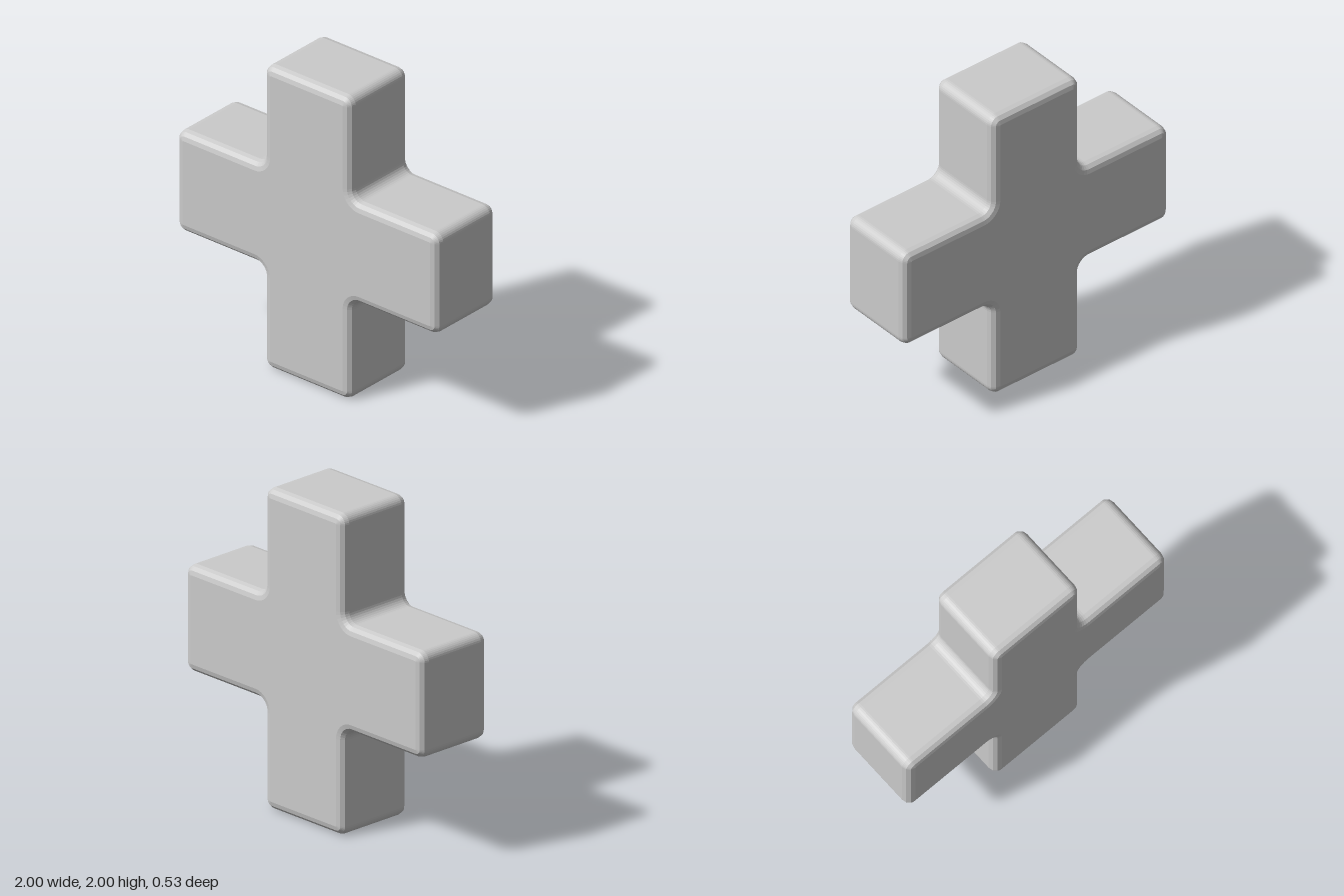
import * as THREE from 'three';

const ARM = 0.332;    // half width of each arm
const DEPTH = 0.265;  // half depth of the body
const BEVEL = 0.055;
const CORNER = 0.06;  // radius at the arm tips
const FILLET = 0.068; // radius in the inner corners

// Outline of the cross: two rounded tip corners and one inner fillet per arm
function crossShape() {
  const shape = new THREE.Shape();
  const quarter = Math.PI / 2;
  for (let i = 0; i < 4; i++) {
    const turn = i * quarter;
    const arc = (x, y, r, from, to, clockwise) => {
      const c = new THREE.Vector2(x, y).rotateAround(new THREE.Vector2(), turn);
      shape.absarc(c.x, c.y, r, from + turn, to + turn, clockwise);
    };
    arc(1 - CORNER, -ARM + CORNER, CORNER, -quarter, 0, false);
    arc(1 - CORNER, ARM - CORNER, CORNER, 0, quarter, false);
    arc(ARM + FILLET, ARM + FILLET, FILLET, 3 * quarter, 2 * quarter, true);
  }
  return shape;
}

export function createModel() {
  const group = new THREE.Group();
  group.name = 'plusSign';

  // Extruded body, bevelled inwards so the outline keeps its full size
  const geometry = new THREE.ExtrudeGeometry(crossShape(), {
    depth: 2 * (DEPTH - BEVEL),
    curveSegments: 4,
    bevelEnabled: true,
    bevelThickness: BEVEL,
    bevelSize: BEVEL,
    bevelOffset: -BEVEL,
    bevelSegments: 3,
  });
  geometry.translate(0, 1, -(DEPTH - BEVEL));

  const material = new THREE.MeshStandardMaterial({ color: 0xcccccc, flatShading: true });
  const body = new THREE.Mesh(geometry, material);
  body.name = 'crossBody';
  group.add(body);
  return group;
}
